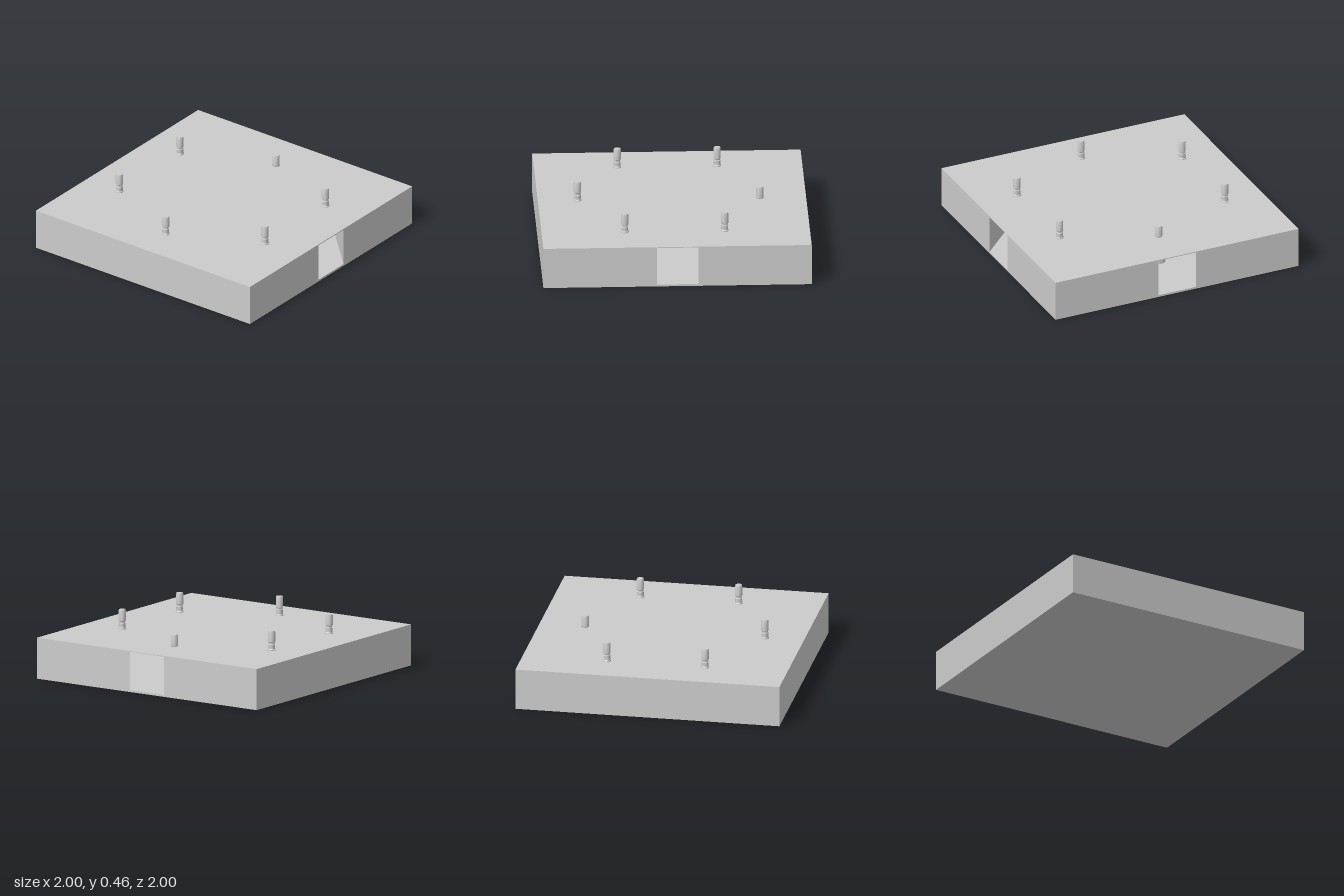
import * as THREE from 'three';
import { toCreasedNormals } from 'three/addons/utils/BufferGeometryUtils.js';

const FLOOR = 0.015, CEIL = 0.305, TOP = 0.312, HALF = 0.155;

export function createModel() {
  const model = new THREE.Group();
  const mat = new THREE.MeshStandardMaterial({ color: 0xcccccc });
  const add = (name, geo, x = 0, y = 0, z = 0, parent = model) => {
    const mesh = new THREE.Mesh(geo, mat);
    mesh.name = name;
    mesh.position.set(x, y, z);
    parent.add(mesh);
    return mesh;
  };
  const rect = (Type, x0, y0, x1, y1) => new Type([
    [x0, y0], [x1, y0], [x1, y1], [x0, y1],
  ].map(([x, y]) => new THREE.Vector2(x, y)));

  const pegs = [
    [-0.38, -0.69], [0.365, -0.69], [-0.705, -0.01],
    [0.655, -0.01], [-0.38, 0.67], [0.365, 0.67],
  ];

  // Floor slab
  add('floor', new THREE.BoxGeometry(2, FLOOR, 2), 0, FLOOR / 2, 0);

  // Lid with a round hole for each peg
  const lid = rect(THREE.Shape, -1, -1, 1, 1);
  for (const [x, z] of pegs) {
    lid.holes.push(new THREE.Path().absarc(x, -z, 0.03, 0, Math.PI * 2, true));
  }
  const lidGeo = new THREE.ExtrudeGeometry(lid, { depth: TOP - CEIL, bevelEnabled: false, curveSegments: 24 });
  lidGeo.rotateX(-Math.PI / 2);
  add('lid', lidGeo, 0, CEIL, 0);

  // Solid corners leave an octagonal chamber inside
  const corner = new THREE.Shape([
    new THREE.Vector2(1, HALF), new THREE.Vector2(1, 1), new THREE.Vector2(HALF, 1),
  ]);
  const cornerGeo = new THREE.ExtrudeGeometry(corner, { depth: CEIL - FLOOR, bevelEnabled: false });
  cornerGeo.rotateX(-Math.PI / 2);
  for (let i = 0; i < 4; i++) {
    add('cornerBlock', cornerGeo, 0, FLOOR, 0).rotation.y = i * Math.PI / 2;
  }

  // Closed walls on the back and right, with a shallow slot on the inside
  const lining = rect(THREE.Shape, -HALF, FLOOR, HALF, CEIL);
  lining.holes.push(rect(THREE.Path, -0.1, 0.235, 0.1, 0.265));
  const liningGeo = new THREE.ExtrudeGeometry(lining, { depth: 0.005, bevelEnabled: false });
  const sheetGeo = new THREE.BoxGeometry(2 * HALF, CEIL - FLOOR, 0.005);
  for (const [name, turn] of [['backWall', 0], ['rightWall', Math.PI / 2]]) {
    const wall = new THREE.Group();
    wall.name = name;
    wall.rotation.y = turn;
    add(name + 'Sheet', sheetGeo, 0, (FLOOR + CEIL) / 2, -0.9975, wall);
    add(name + 'Slot', liningGeo, 0, 0, -0.995, wall);
    model.add(wall);
  }

  // Turned pegs with a wide foot under the lid; the one on the left is pushed down
  const profile = [
    [0, 0.16], [0.05, 0.16], [0.05, 0.225], [0.032, 0.225], [0.026, 0.238],
    [0.026, 0.312], [0.03, 0.312], [0.03, 0.318], [0.026, 0.325], [0.026, 0.357],
    [0.022, 0.36], [0.022, 0.37], [0.027, 0.375], [0.027, 0.45], [0.024, 0.46], [0, 0.46],
  ].map(([r, y]) => new THREE.Vector2(r, y));
  const pegGeo = toCreasedNormals(new THREE.LatheGeometry(profile, 32), 0.5);
  for (const [x, z] of pegs) {
    add('peg', pegGeo, x, x > 0.5 ? -0.06 : 0, z);
  }

  return model;
}
